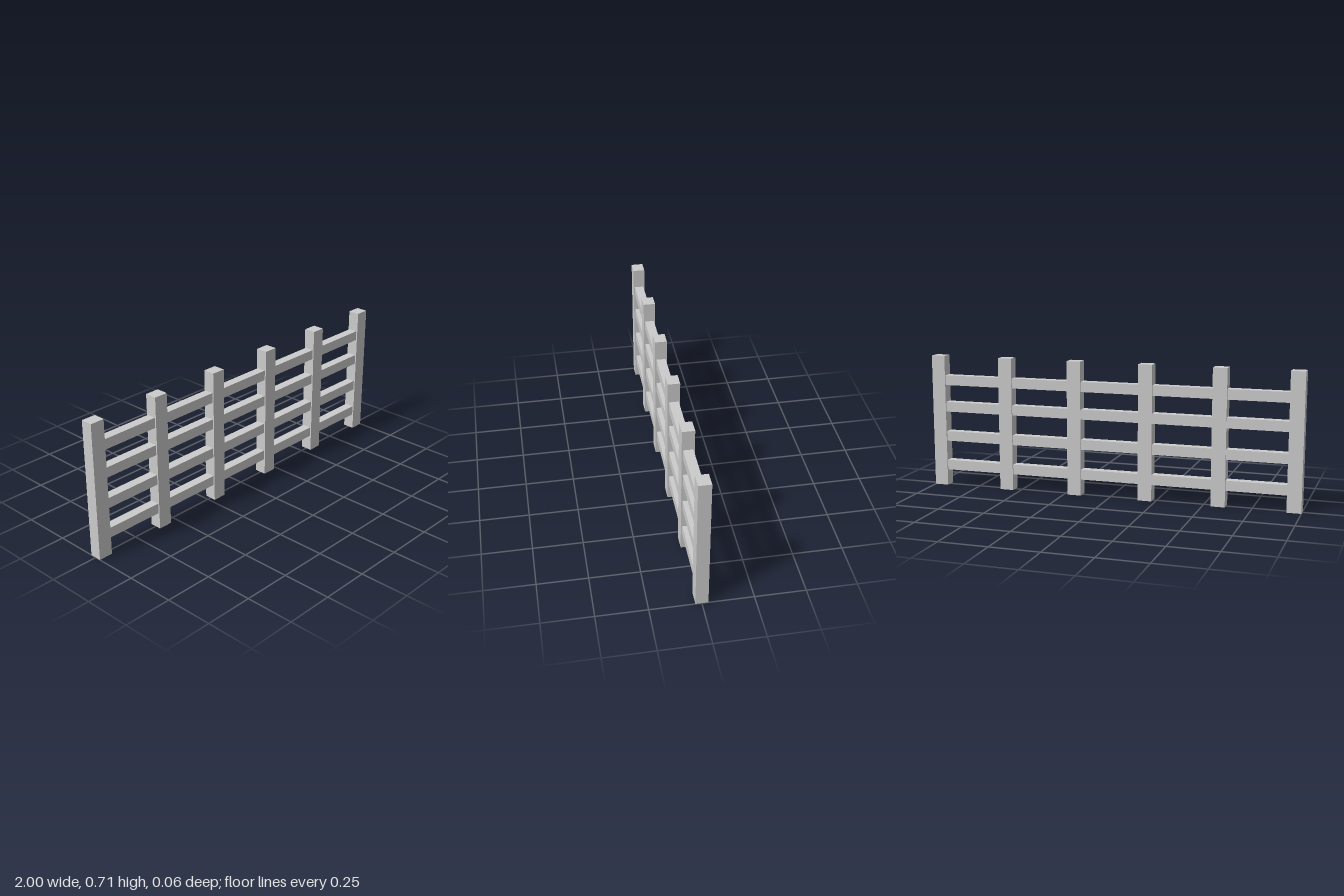
import * as THREE from 'three';

const POST = { width: 0.074, height: 0.71, depth: 0.062 };
const RAIL = { height: 0.053, depth: 0.048 };
const POST_COUNT = 6;
const RAIL_HEIGHTS = [0.112, 0.272, 0.433, 0.578];

export function createModel() {
  const fence = new THREE.Group();
  fence.name = 'fence';
  const material = new THREE.MeshStandardMaterial({ color: 0xcccccc, flatShading: true });

  const addBox = (name, w, h, d, x, y) => {
    const mesh = new THREE.Mesh(new THREE.BoxGeometry(w, h, d), material);
    mesh.name = name;
    mesh.position.set(x, y, 0);
    fence.add(mesh);
  };

  // Evenly spaced upright posts, the outer two flush with the ends
  const span = 2 - POST.width;
  for (let i = 0; i < POST_COUNT; i++) {
    const x = -span / 2 + (span * i) / (POST_COUNT - 1);
    addBox(`post${i + 1}`, POST.width, POST.height, POST.depth, x, POST.height / 2);
  }

  // Horizontal rails running through the posts, ending inside the outer two
  RAIL_HEIGHTS.forEach((y, i) => {
    addBox(`rail${i + 1}`, span, RAIL.height, RAIL.depth, 0, y);
  });

  return fence;
}
